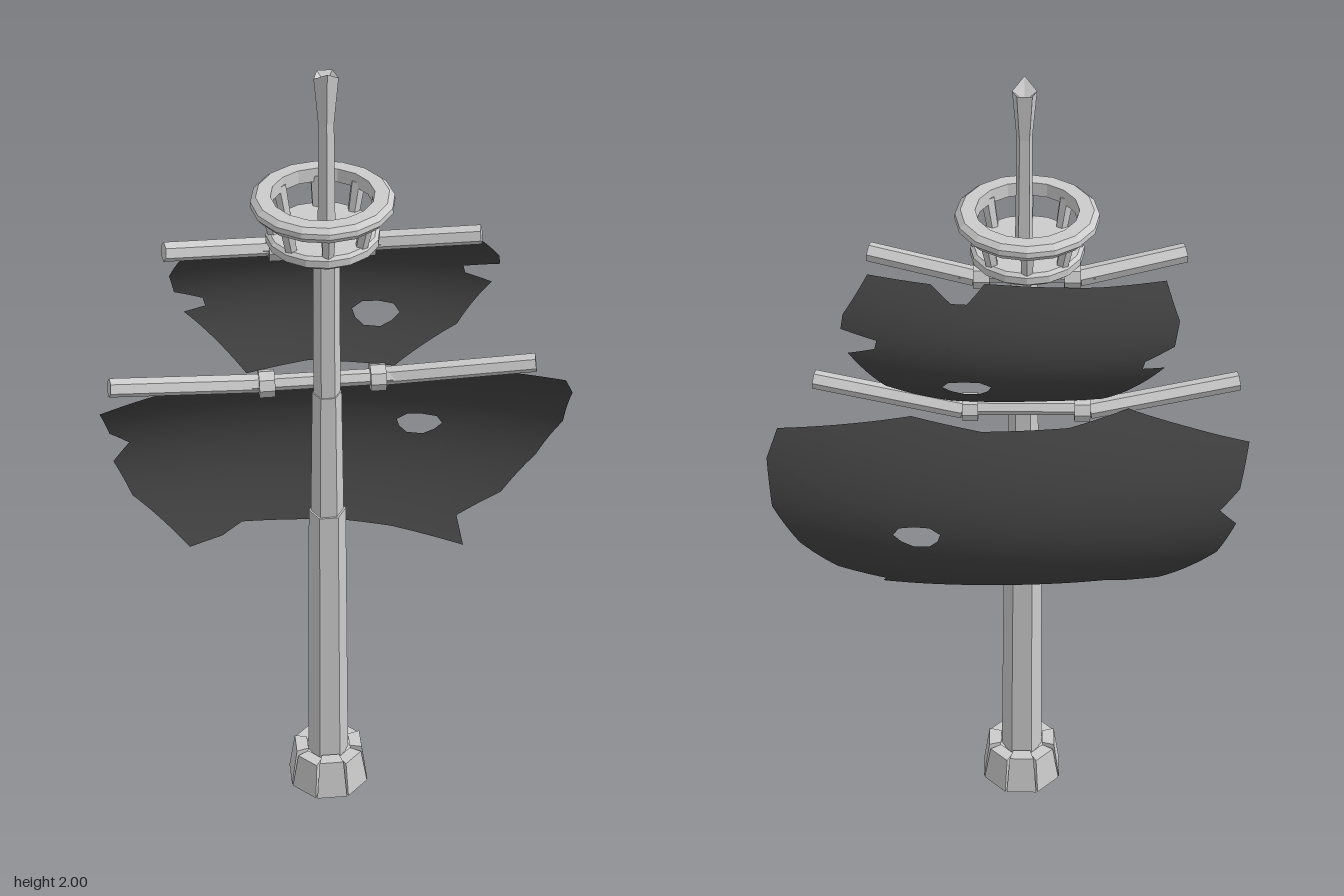
import * as THREE from 'three';
import { mergeVertices } from 'three/addons/utils/BufferGeometryUtils.js';

const AX = -0.035, AZ = 0.028;           // mast axis
const NEST_X = -0.042, NEST_Z = 0.023;   // lookout and yards sit slightly off the mast axis
const flat = new THREE.MeshStandardMaterial({ color: 0xcccccc, flatShading: true });
const cloth = new THREE.MeshStandardMaterial({ color: 0x404040, side: THREE.DoubleSide });

function add(parent, name, geometry, material = flat) {
  const mesh = new THREE.Mesh(geometry, material);
  mesh.name = name;
  parent.add(mesh);
}

// Straight round bar between two points
function bar(parent, name, a, b, r0, r1 = r0, sides = 6) {
  const from = new THREE.Vector3(...a), to = new THREE.Vector3(...b);
  const dir = to.clone().sub(from);
  const g = new THREE.CylinderGeometry(r1, r0, dir.length(), sides);
  g.applyQuaternion(new THREE.Quaternion().setFromUnitVectors(new THREE.Vector3(0, 1, 0), dir.normalize()));
  const c = from.add(to).multiplyScalar(0.5);
  add(parent, name, g.translate(c.x, c.y, c.z));
}

function lathe(profile, sides) {
  return new THREE.LatheGeometry(profile.map(q => new THREE.Vector2(...q)), sides);
}

function mastSection(parent, name, y0, y1, r0, r1) {
  const g = new THREE.CylinderGeometry(r1, r0, y1 - y0, 6).rotateY(Math.PI / 6);
  add(parent, name, g.translate(0, (y0 + y1) / 2, 0));
}

// Topmast: five-sided pole that flares into a splintered end
function topmastGeometry() {
  const g = new THREE.CylinderGeometry(1, 1, 3, 5, 3);
  const p = g.attributes.position;
  const levels = [[1.58, 0.021], [1.74, 0.019], [1.87, 0.018], [1.97, 0.028]];
  for (let i = 0; i < p.count; i++) {
    const level = Math.round(p.getY(i) + 1.5);
    const [y, r] = levels[level];
    const x = p.getX(i), z = p.getZ(i);
    const top = level === 3, tip = top && z > 0.9;
    let lift = 0;
    if (tip) lift = 0.03;
    else if (top) lift = Math.hypot(x, z) < 0.1 ? -0.012 : z < -0.5 ? 0.012 : 0.008;
    p.setXYZ(i, x * r, y + lift, z * r * (tip ? 1.25 : 1));
  }
  return g;
}

// Foot collar: ring of tapered blocks around a hollow socket
function buildCollar(parent) {
  const collar = new THREE.Group();
  collar.name = 'footCollar';
  const ring = [[0.062, 0], [0.086, 0], [0.072, 0.085], [0.046, 0.085], [0.062, 0]];
  add(collar, 'socket', lathe(ring, 8).rotateY(Math.PI / 8));
  for (let i = 0; i < 8; i++) {
    const g = new THREE.BoxGeometry(0.075, 0.1, 0.03);
    const p = g.attributes.position;
    for (let j = 0; j < p.count; j++) {
      const top = p.getY(j) > 0, inner = p.getZ(j) < 0;
      p.setX(j, p.getX(j) * (top ? 0.8 : 1) * (inner ? 0.72 : 1));
      p.setZ(j, p.getZ(j) - (top ? 0.014 : 0));
    }
    const height = i % 2 ? 0.96 : 1.05;
    g.scale(1, height, 1).translate(0, 0.05 * height, 0.081).rotateY(i * Math.PI / 4);
    add(collar, 'collarBlock', g);
  }
  parent.add(collar);
}

// Lookout: floor, slanted posts and bevelled rim
function buildLookout(parent) {
  const nest = new THREE.Group();
  nest.name = 'lookout';
  nest.position.set(NEST_X, 0, NEST_Z);
  const floor = [[0, 1.57], [0.114, 1.57], [0.126, 1.58], [0.126, 1.597], [0.118, 1.604], [0, 1.604]];
  add(nest, 'lookoutFloor', lathe(floor, 16));
  const rim = [[0.112, 1.66], [0.146, 1.655], [0.159, 1.67], [0.158, 1.682], [0.146, 1.692], [0.114, 1.692], [0.112, 1.66]];
  add(nest, 'lookoutRim', lathe(rim, 16));
  for (let i = 0; i < 8; i++) {
    const a = i * Math.PI / 4, s = Math.sin(a), c = Math.cos(a);
    bar(nest, 'lookoutPost', [0.107 * s, 1.595, 0.107 * c], [0.124 * s, 1.67, 0.124 * c], 0.014, 0.017);
  }
  parent.add(nest);
}

// Yard: level middle, two raised arms swept forward, two clamps
function buildYard(parent, name, y, bend, half, rise, clampAt) {
  const yard = new THREE.Group();
  yard.name = name;
  yard.position.set(NEST_X, y, -0.01);
  bar(yard, 'yardMiddle', [-bend, 0, 0], [bend, 0, 0], 0.019);
  for (const s of [-1, 1]) {
    bar(yard, 'yardArm', [s * (bend - 0.035), -0.003, -0.005], [s * half, rise, 0.045], 0.022);
    bar(yard, 'yardClamp', [s * clampAt - 0.018, -0.001, 0], [s * clampAt + 0.018, -0.001, 0], 0.033, 0.033, 8);
  }
  parent.add(yard);
}

// Torn sail: outline with a hole, subdivided and then bellied by depth(x, y)
function sailGeometry(outline, [hx, hy, rx, ry], depth) {
  const contour = outline.map(q => new THREE.Vector2(...q)).reverse();
  const hole = [];
  for (let i = 0; i < 9; i++) {
    const a = -i * Math.PI * 2 / 9, k = i % 3 === 1 ? 0.88 : 1;
    hole.push(new THREE.Vector2(hx + rx * k * Math.cos(a), hy + ry * k * Math.sin(a)));
  }
  const points = [...contour, ...hole];
  let tris = THREE.ShapeUtils.triangulateShape(contour, [hole]).map(t => t.map(i => points[i]));
  const mid = (a, b) => a.clone().add(b).multiplyScalar(0.5);
  for (let n = 0; n < 4; n++) {
    tris = tris.flatMap(([a, b, c]) => {
      const ab = mid(a, b), bc = mid(b, c), ca = mid(c, a);
      return [[a, ab, ca], [ab, b, bc], [ca, bc, c], [ab, bc, ca]];
    });
  }
  const pos = tris.flat().flatMap(v => [v.x, v.y, depth(v.x, v.y)]);
  const g = new THREE.BufferGeometry();
  g.setAttribute('position', new THREE.Float32BufferAttribute(pos, 3));
  const merged = mergeVertices(g, 1e-5);
  merged.computeVertexNormals();
  return merged;
}

// Sail outlines, clockwise from the upper corner on the model's right
const LOWER_SAIL = [
  [-0.555, 1.105], [-0.41, 1.15], [-0.275, 1.19], [-0.14, 1.165], [0.06, 1.16], [0.22, 1.18], [0.53, 1.13],
  [0.555, 1.07], [0.545, 0.96], [0.485, 0.86], [0.4, 0.77], [0.29, 0.72], [0.3, 0.668], [0.13, 0.7],
  [0.01, 0.715], [-0.15, 0.725], [-0.23, 0.73], [-0.28, 0.71], [-0.36, 0.7], [-0.49, 0.825],
  [-0.53, 0.92], [-0.49, 0.965], [-0.535, 1.01],
];
const UPPER_SAIL = [
  [-0.35, 1.53], [-0.38, 1.455], [-0.37, 1.4], [-0.305, 1.37], [-0.3, 1.35], [-0.35, 1.345], [-0.28, 1.275],
  [-0.215, 1.21], [-0.07, 1.22], [0.125, 1.205], [0.275, 1.28], [0.355, 1.38], [0.295, 1.4], [0.29, 1.42],
  [0.37, 1.435], [0.365, 1.465], [0.31, 1.54], [0.17, 1.535], [0.125, 1.505], [0.09, 1.505], [0.05, 1.54], [-0.2, 1.53],
].reverse();

export function createModel() {
  const model = new THREE.Group();
  model.name = 'brokenMast';

  // Mast in stepped sections, with its foot collar
  const mast = new THREE.Group();
  mast.name = 'mast';
  mast.position.set(AX, 0, AZ);
  mastSection(mast, 'lowerMast', 0.02, 0.84, 0.051, 0.044);
  mastSection(mast, 'middleMast', 0.84, 1.175, 0.039, 0.034);
  mastSection(mast, 'upperMast', 1.175, 1.58, 0.031, 0.03);
  add(mast, 'topmast', topmastGeometry());
  buildCollar(mast);
  model.add(mast);

  buildLookout(model);
  buildYard(model, 'lowerYard', 1.183, 0.18, 0.487, 0.043, 0.128);
  buildYard(model, 'upperYard', 1.547, 0.15, 0.35, 0.028, 0.1);

  // Sails billow backwards, deepest at mid height
  add(model, 'lowerSail', sailGeometry(LOWER_SAIL, [0.207, 0.93, 0.056, 0.031],
    (x, y) => -0.185 + 2.05 * (y - 0.93) ** 2 + 0.28 * x * x), cloth);
  add(model, 'upperSail', sailGeometry(UPPER_SAIL, [0.09, 1.3, 0.056, 0.028],
    (x, y) => -0.125 + 3.3 * (y - 1.38) ** 2 + 0.36 * (x + 0.01) ** 2), cloth);

  return model;
}
